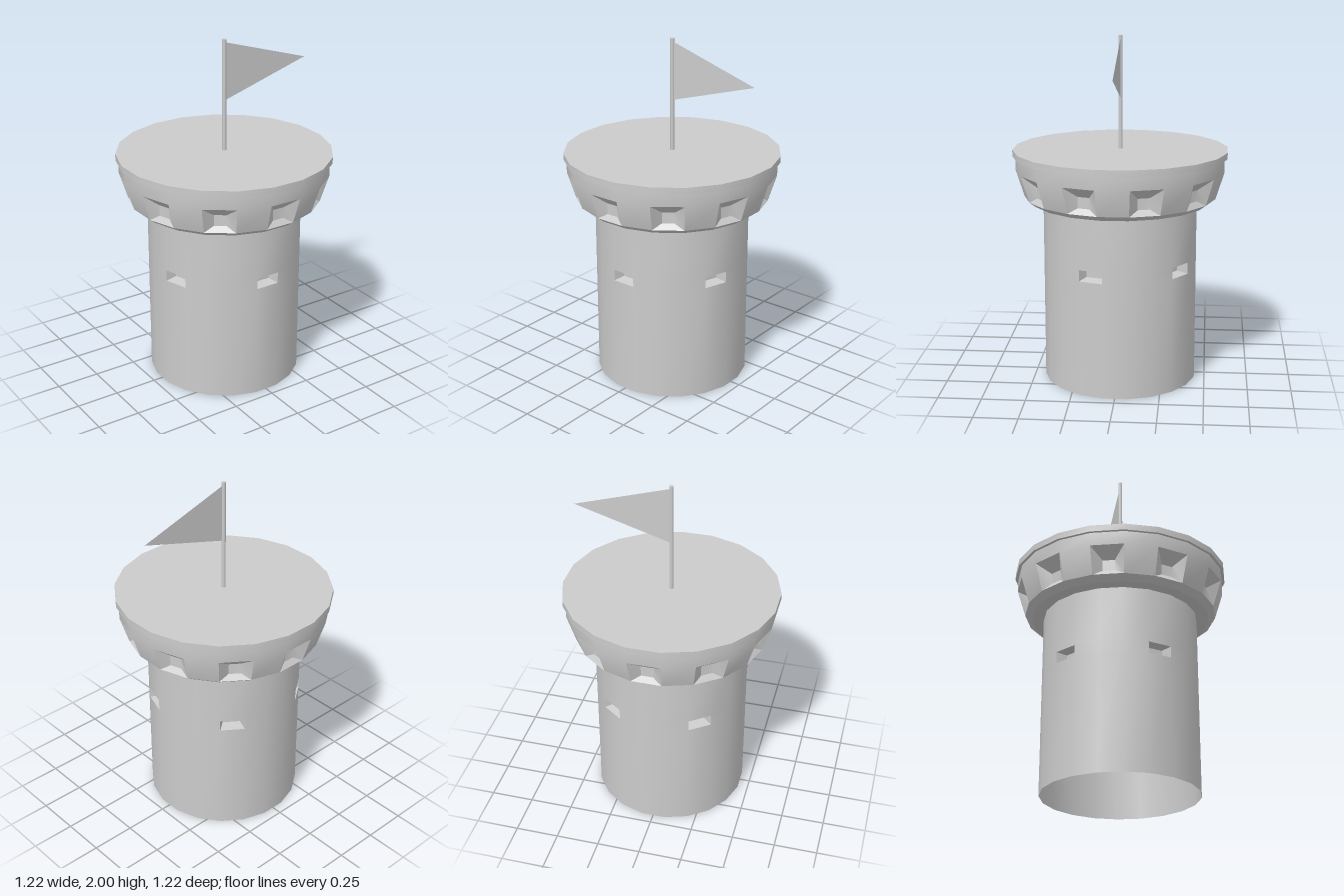
import * as THREE from 'three';
import { toCreasedNormals } from 'three/addons/utils/BufferGeometryUtils.js';

const SIDES = 20;
const STEP = (Math.PI * 2) / SIDES;
const material = new THREE.MeshStandardMaterial({ color: 0xcccccc, side: THREE.DoubleSide });

// Point on a panel: side offset x, height y, distance d from the axis
function panelPoint(panel, x, y, d) {
  return new THREE.Vector3(x, y, d).applyAxisAngle(new THREE.Vector3(0, 1, 0), panel * STEP);
}

function rectangle(panel, halfBottom, halfTop, y0, y1, d0, d1) {
  return [
    panelPoint(panel, -halfBottom, y0, d0), panelPoint(panel, halfBottom, y0, d0),
    panelPoint(panel, halfTop, y1, d1), panelPoint(panel, -halfTop, y1, d1),
  ];
}

function addQuad(out, a, b, c, d) {
  out.push(a, b, c);
  if (c.distanceTo(d) > 1e-6) out.push(a, c, d);
}

// Faceted wall from a profile of [distance, height]; one band may hold tapered openings
function wall(name, profile, opening) {
  const points = [];
  const half = (d) => d * Math.tan(STEP / 2);
  for (let k = 0; k < profile.length - 1; k++) {
    const [d0, y0] = profile[k];
    const [d1, y1] = profile[k + 1];
    for (let i = 0; i < SIDES; i++) {
      const outer = rectangle(i, half(d0), half(d1), y0, y1, d0, d1);
      if (opening && k === opening.band && i % opening.every === 0) {
        const { halfWidth: w, bottom, top, depth } = opening;
        const inner = rectangle(i, w, w, bottom, top, depth, depth);
        for (let e = 0; e < 4; e++) {
          const f = (e + 1) % 4;
          addQuad(points, outer[e], outer[f], inner[f], inner[e]);
        }
        addQuad(points, ...inner);
      } else {
        addQuad(points, ...outer);
      }
    }
  }
  const geometry = toCreasedNormals(new THREE.BufferGeometry().setFromPoints(points), 0.45);
  const mesh = new THREE.Mesh(geometry, material);
  mesh.name = name;
  return mesh;
}

export function createModel() {
  const group = new THREE.Group();
  group.name = 'tower';

  // Shaft, open underneath, with five narrow slots
  group.add(wall('shaft', [[0.44, 0], [0.44, 0.675], [0.44, 0.74], [0.44, 1.055]],
    { band: 1, every: 4, halfWidth: 0.049, bottom: 0.687, top: 0.733, depth: 0.38 }));

  // Flared gallery with ten windows
  group.add(wall('gallery',
    [[0.44, 1.055], [0.508, 1.055], [0.547, 1.085], [0.595, 1.24], [0.595, 1.318]],
    { band: 2, every: 2, halfWidth: 0.034, bottom: 1.117, top: 1.18, depth: 0.525 }));

  // Flat roof slab
  group.add(wall('roof', [[0.59, 1.318], [0.611, 1.318], [0.611, 1.355], [0, 1.355]]));

  // Flagpole
  const pole = new THREE.Mesh(new THREE.CylinderGeometry(0.012, 0.012, 0.65, 12), material);
  pole.name = 'flagpole';
  pole.position.y = 1.675;
  group.add(pole);

  // Pennant
  const pennant = new THREE.Shape([
    new THREE.Vector2(0.01, 1.65), new THREE.Vector2(0.553, 1.815), new THREE.Vector2(0.01, 1.98),
  ]);
  const flag = new THREE.Mesh(new THREE.ShapeGeometry(pennant), material);
  flag.name = 'flag';
  group.add(flag);

  return group;
}
